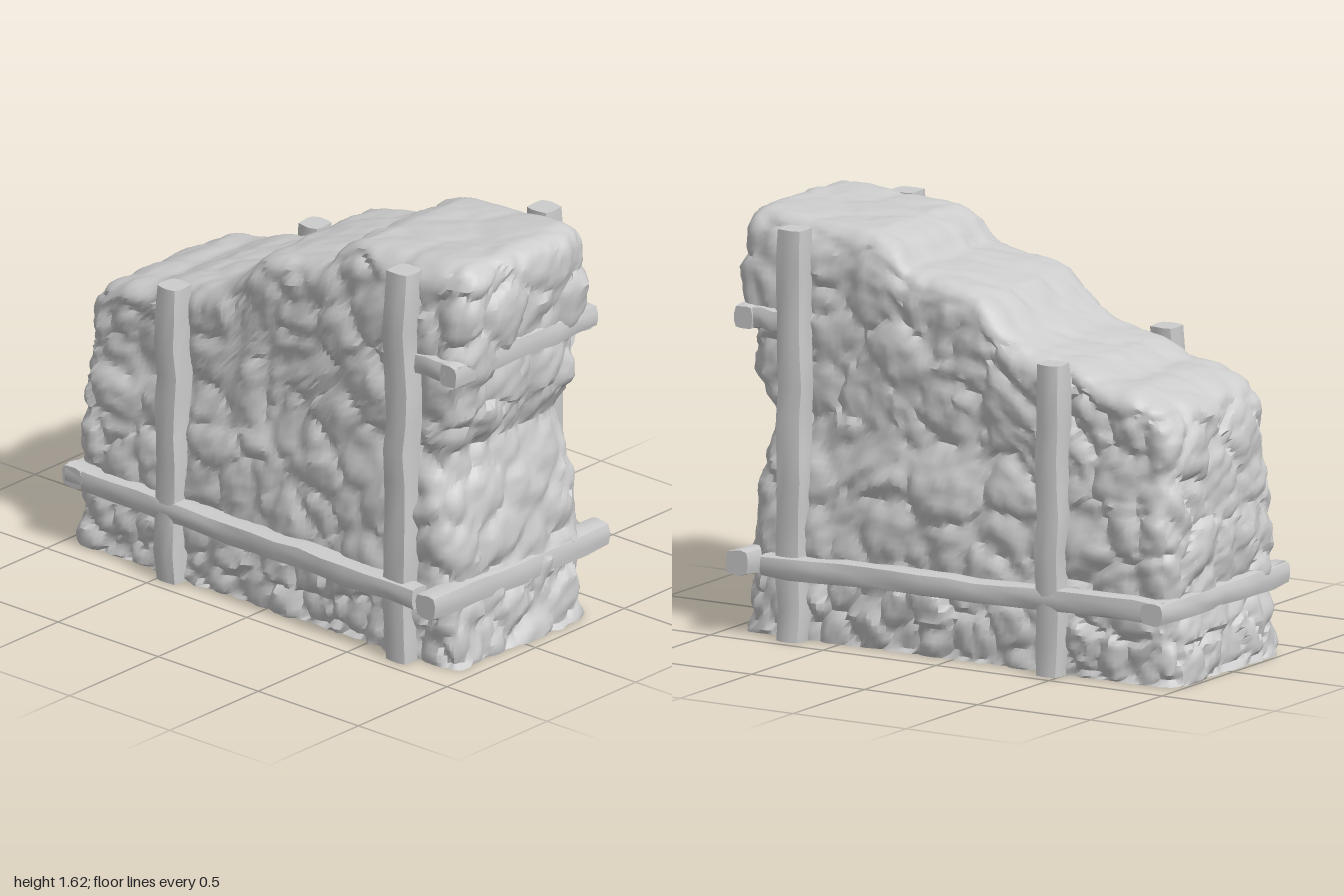
import * as THREE from 'three';
import { mergeVertices, toCreasedNormals } from 'three/addons/utils/BufferGeometryUtils.js';

const clamp = THREE.MathUtils.clamp;

// Piecewise linear profile lookup
const along = (pts, t) => {
  if (t <= pts[0][0]) return pts[0][1];
  for (let i = 1; i < pts.length; i++) {
    const [a, va] = pts[i - 1], [b, vb] = pts[i];
    if (t <= b) return va + (vb - va) * (t - a) / (b - a);
  }
  return pts[pts.length - 1][1];
};

// Repeatable hash in 0..1
const hash = (x, y, z, s) => {
  const n = Math.sin(x * 127.1 + y * 311.7 + z * 74.7 + s * 53.3) * 43758.5453;
  return n - Math.floor(n);
};

// Cellular noise: rounded stones with grooves between them, about -0.5..1
function stones(x, y, z, size) {
  const p = [x / size, y / size, z / size], c = p.map(Math.floor);
  let f1 = 9, f2 = 9, id = 0;
  for (let i = -1; i <= 1; i++) for (let j = -1; j <= 1; j++) for (let k = -1; k <= 1; k++) {
    const a = c[0] + i, b = c[1] + j, e = c[2] + k;
    const d = Math.hypot(a + hash(a, b, e, 1) - p[0], b + hash(a, b, e, 2) - p[1], e + hash(a, b, e, 3) - p[2]);
    if (d < f1) { f2 = f1; f1 = d; id = hash(a, b, e, 4); } else if (d < f2) f2 = d;
  }
  return Math.min((f2 - f1) * 2.2, 0.7) + id * 0.8 - 0.8;
}

// Outline profiles of the wall
const topLine = [[-0.97, 1.05], [-0.88, 1.08], [-0.8, 1.11], [-0.7, 1.12], [-0.55, 1.18], [-0.35, 1.22],
  [-0.25, 1.28], [-0.13, 1.4], [0, 1.43], [0.2, 1.47], [0.26, 1.54], [0.36, 1.59], [0.6, 1.6], [0.97, 1.635]];
const leftLine = [[0, -0.98], [0.2, -0.97], [0.3, -0.94], [0.5, -0.96], [0.8, -0.945], [0.95, -0.93], [1.1, -0.89]];
const rightLine = [[0, 0.94], [0.3, 0.92], [0.5, 0.91], [0.7, 0.88], [0.85, 0.84], [1, 0.92], [1.2, 0.94], [1.4, 0.98], [1.64, 0.98]];
const depthLine = [[0, 0.385], [0.2, 0.39], [0.5, 0.39], [0.68, 0.38], [0.78, 0.35], [1, 0.355], [1.4, 0.37], [1.64, 0.35]];

function wallGeometry() {
  const H = 1.4, hx = 0.95, hz = 0.38, r = 0.1;
  let g = new THREE.BoxGeometry(2 * hx, H, 2 * hz, 84, 60, 34);
  g.translate(0, H / 2, 0);
  g.deleteAttribute('uv');
  g.deleteAttribute('normal');
  g = mergeVertices(g);
  const p = g.attributes.position;
  const v = new THREE.Vector3(), inner = new THREE.Vector3();
  // Round the corners, then warp the block to the outline
  for (let i = 0; i < p.count; i++) {
    v.fromBufferAttribute(p, i);
    inner.set(clamp(v.x, r - hx, hx - r), Math.min(v.y, H - r), clamp(v.z, r - hz, hz - r));
    v.sub(inner);
    const m = Math.max(Math.abs(v.x), Math.abs(v.y), Math.abs(v.z));
    if (m > 0) v.setLength(m);
    v.add(inner);
    const y = v.y / H * along(topLine, v.x);
    const l = along(leftLine, y), R = along(rightLine, y);
    p.setXYZ(i, l + (R - l) * (v.x + hx) / (2 * hx), y, v.z / hz * along(depthLine, y));
  }
  g.computeVertexNormals();
  // Raise the stones; the top stays smoother and the base stays flat
  const n = g.attributes.normal;
  for (let i = 0; i < p.count; i++) {
    v.fromBufferAttribute(p, i);
    const ny = n.getY(i), k = ny > 0 ? 1 - 0.75 * ny : 1;
    const d = k * (0.034 * stones(v.x, v.y, v.z, v.y < 0.3 ? 0.15 : 0.21) + 0.013 * stones(v.x + 5, v.y, v.z, 0.09));
    const y = v.y < 0.002 ? 0.01 : Math.max(0.01, v.y + n.getY(i) * d);
    p.setXYZ(i, v.x + n.getX(i) * d, y, v.z + n.getZ(i) * d);
  }
  return toCreasedNormals(g, 0.75);
}

// Rough-hewn beam between two points, with chamfered section and a slight wobble
function beam(name, from, to, w, d, material, seed) {
  const a = new THREE.Vector3(...from), b = new THREE.Vector3(...to);
  const len = a.distanceTo(b);
  let g = new THREE.BoxGeometry(w, len, d, 3, Math.max(4, Math.round(len / 0.12)), 3);
  g.deleteAttribute('uv');
  g.deleteAttribute('normal');
  g = mergeVertices(g);
  const p = g.attributes.position;
  for (let i = 0; i < p.count; i++) {
    let x = p.getX(i), y = p.getY(i), z = p.getZ(i);
    const corner = Math.abs(x) > w * 0.45 && Math.abs(z) > d * 0.45;
    const s = (corner ? 0.87 : 1) * (Math.abs(y) > len * 0.499 ? 0.93 : 1);
    const row = Math.round(y * 50);
    x = x * s + (hash(row, seed, 0, 5) - 0.5) * 0.012 + (hash(i, seed, 1, 6) - 0.5) * 0.006;
    z = z * s + (hash(row, seed, 2, 7) - 0.5) * 0.012 + (hash(i, seed, 3, 8) - 0.5) * 0.006;
    p.setXYZ(i, x, y, z);
  }
  const mesh = new THREE.Mesh(toCreasedNormals(g, 0.7), material);
  mesh.name = name;
  mesh.position.copy(a).add(b).multiplyScalar(0.5);
  mesh.quaternion.setFromUnitVectors(new THREE.Vector3(0, 1, 0), b.sub(a).normalize());
  return mesh;
}

export function createModel() {
  const model = new THREE.Group();
  model.name = 'rubbleWall';
  const grey = new THREE.MeshStandardMaterial({ color: 0xcccccc });
  grey.name = 'plain grey';

  const wall = new THREE.Mesh(wallGeometry(), grey);
  wall.name = 'stoneWall';
  model.add(wall);

  // Posts, long rails and upper stubs on the front and back
  for (const s of [1, -1]) {
    const side = s > 0 ? 'front' : 'back';
    model.add(
      beam(side + 'ShortPost', [-0.455, 0.01, s * 0.405], [-0.455, 1.2, s * 0.4], 0.108, 0.108, grey, 1 + s),
      beam(side + 'TallPost', [0.69, 0.01, s * 0.405], [0.69, 1.585, s * 0.4], 0.114, 0.108, grey, 4 + s),
      beam(side + 'LowRail', [-0.95, 0.305, s * 0.405], [0.8, 0.295, s * 0.43], 0.09, 0.092, grey, 7 + s),
      beam(side + 'UpperStub', [0.74, 1.215, s * 0.36], [0.95, 1.22, s * 0.35], 0.085, 0.08, grey, 10 + s)
    );
  }

  // Rails across the two ends
  model.add(
    beam('rightLowRail', [0.885, 0.295, -0.49], [0.885, 0.295, 0.49], 0.1, 0.1, grey, 14),
    beam('leftLowRail', [-0.92, 0.3, -0.45], [-0.92, 0.3, 0.45], 0.1, 0.09, grey, 15),
    beam('rightUpperRail', [0.915, 1.22, -0.4], [0.915, 1.22, 0.4], 0.085, 0.095, grey, 16)
  );
  return model;
}
